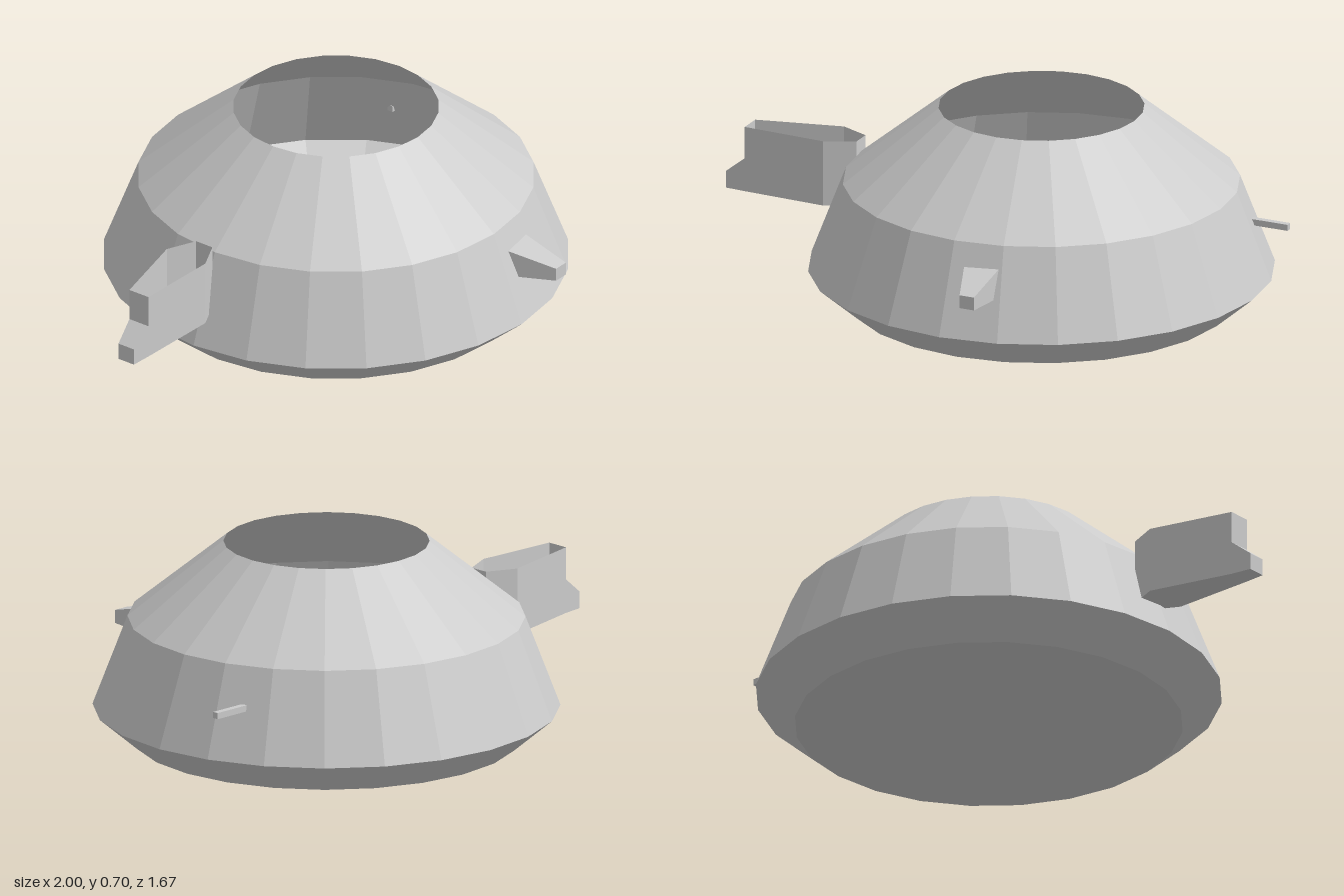
import * as THREE from 'three';

const material = new THREE.MeshStandardMaterial({
  color: 0xcccccc, flatShading: true, side: THREE.DoubleSide,
});

function addMesh(group, name, geometry) {
  const mesh = new THREE.Mesh(geometry, material);
  mesh.name = name;
  group.add(mesh);
  return mesh;
}

// Collects four-cornered faces into one geometry
function quadsGeometry(quads) {
  const positions = [];
  for (const [a, b, c, d] of quads) positions.push(...a, ...b, ...c, ...a, ...c, ...d);
  const geometry = new THREE.BufferGeometry();
  geometry.setAttribute('position', new THREE.Float32BufferAttribute(positions, 3));
  geometry.computeVertexNormals();
  return geometry;
}

// Open trough lofted along x; each section is [x, zBack, zFront, yTop]
function troughGeometry(sections, yBase, coveredSpans) {
  const loops = sections.map(([x, zb, zf, yt]) => [
    [x, yt, zb], [x, yBase, zb], [x, yBase, zf], [x, yt, zf],
  ]);
  const quads = [];
  for (let i = 0; i < loops.length - 1; i++) {
    const p = loops[i], q = loops[i + 1];
    if (sections[i][0] !== sections[i + 1][0]) {
      for (let k = 0; k < 3; k++) quads.push([p[k], p[k + 1], q[k + 1], q[k]]);
    }
    if (i < coveredSpans) quads.push([p[3], q[3], q[0], p[0]]);
  }
  const last = loops[loops.length - 1];
  quads.push([...loops[0]].reverse(), last);
  // outward faces
  return quadsGeometry(quads.map((q) => [...q].reverse()));
}

export function createModel() {
  const model = new THREE.Group();
  model.name = 'vessel';

  // Thin open bowl with a flat floor
  const profile = [[0, 0], [0.67, 0], [0.805, 0.115], [0.685, 0.43], [0.355, 0.7]];
  const bowl = addMesh(model, 'bowl', new THREE.LatheGeometry(
    profile.map(([r, y]) => new THREE.Vector2(r, y)), 24));
  bowl.position.set(0.19, 0, -0.035);

  // Hollow side trough with a stepped, sloping tip
  addMesh(model, 'sideTrough', troughGeometry([
    [-1, -0.065, 0.002, 0.285],
    [-0.925, -0.075, 0.007, 0.345],
    [-0.925, -0.075, 0.007, 0.46],
    [-0.62, -0.147, 0.02, 0.46],
    [-0.515, -0.1, -0.03, 0.46],
  ], 0.225, 2));

  // Front peg, tapering towards its outer end
  const peg = new THREE.BoxGeometry(1, 1, 1);
  const pos = peg.attributes.position;
  for (let i = 0; i < pos.count; i++) {
    const outer = pos.getZ(i) > 0;
    const x = pos.getX(i) > 0 ? (outer ? 0.355 : 0.363) : (outer ? 0.3 : 0.23);
    const y = pos.getY(i) > 0 ? (outer ? 0.307 : 0.355) : (outer ? 0.26 : 0.25);
    pos.setXYZ(i, x, y, outer ? 0.835 : 0.65);
  }
  peg.computeVertexNormals();
  addMesh(model, 'frontPeg', peg);

  // Thin rod on the left side
  const rod = addMesh(model, 'sideRod', new THREE.BoxGeometry(0.14, 0.022, 0.022));
  rod.position.set(0.93, 0.294, -0.315);

  return model;
}
